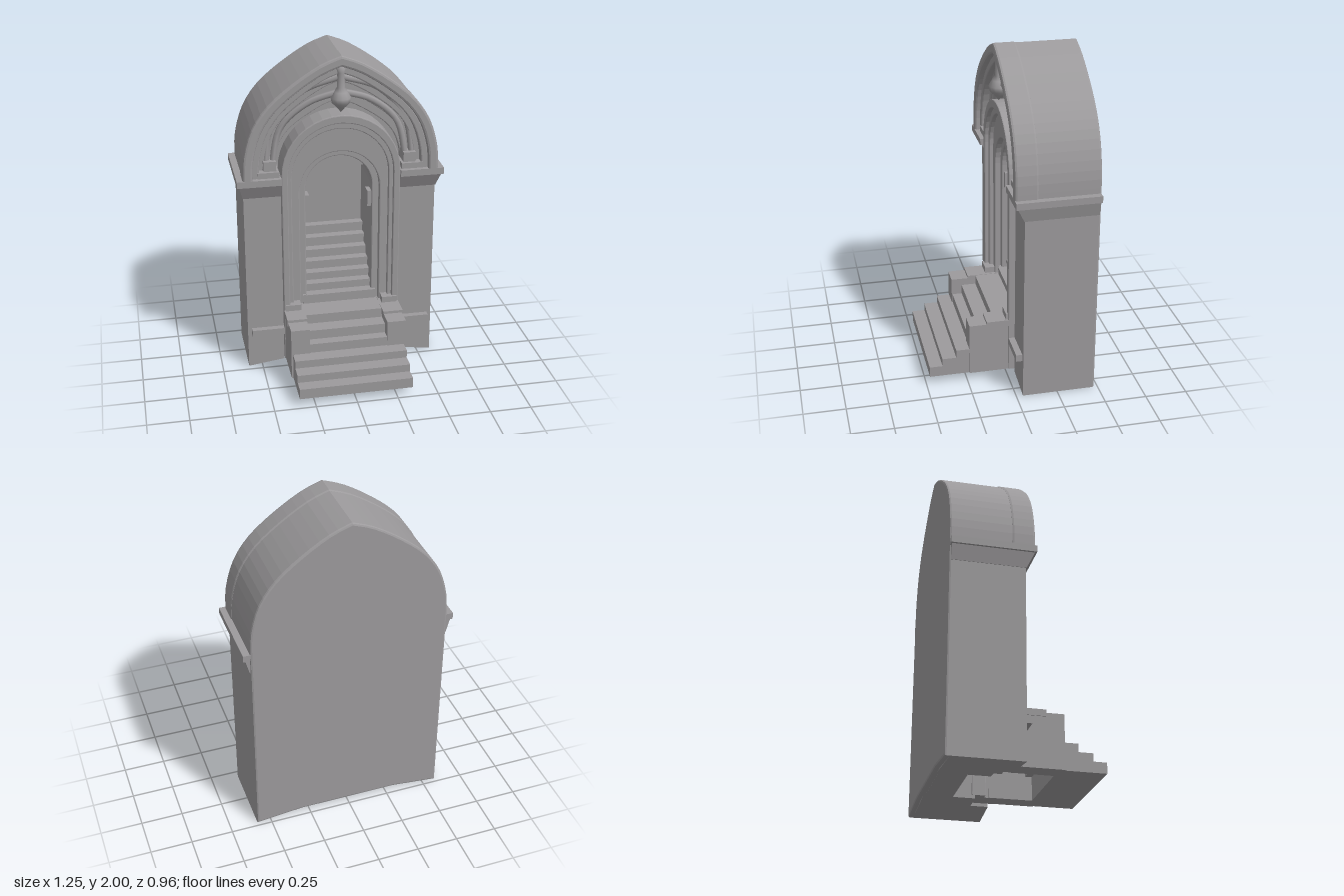
import * as THREE from 'three';

export function createModel() {
  const root = new THREE.Group();
  root.name = 'archedStairDoorway';
  const stone = new THREE.MeshStandardMaterial({ color: 0x9c9a9c });
  stone.name = 'grey stone';

  const add = (name, geometry, x = 0, y = 0, z = 0) => {
    const mesh = new THREE.Mesh(geometry, stone);
    mesh.name = name;
    mesh.position.set(x, y, z);
    root.add(mesh);
    return mesh;
  };
  // Box given by its limits
  const block = (name, x0, x1, y0, y1, z0, z1) =>
    add(name, new THREE.BoxGeometry(x1 - x0, y1 - y0, z1 - z0),
      (x0 + x1) / 2, (y0 + y1) / 2, (z0 + z1) / 2);
  const V = (x, y) => new THREE.Vector2(x, y);

  // Pointed arch outline, right foot to left foot
  const profile = new THREE.SplineCurve([[1, 0], [0.985, 0.2], [0.9, 0.43], [0.74, 0.62],
    [0.5, 0.785], [0.22, 0.93], [0, 1]].map(([u, v]) => V(u, v))).getPoints(18);
  const pointed = (w, spring, apex, foot) => {
    const right = profile.map(p => V(p.x * w, spring + p.y * (apex - spring)));
    const left = right.slice(0, -1).reverse().map(p => V(-p.x, p.y));
    const arch = [...right, ...left];
    return foot === undefined ? arch : [V(w, foot), ...arch, V(-w, foot)];
  };
  // Round arch outline, right foot to left foot
  const round = (w, top, foot) => {
    const pts = [V(w, foot)];
    for (let i = 0; i <= 20; i++) {
      const a = Math.PI * i / 20;
      pts.push(V(w * Math.cos(a), top - w + w * Math.sin(a)));
    }
    return [...pts, V(-w, foot)];
  };
  // Slab between z0 and z1; an inner outline opens it at the foot
  const slab = (name, outer, inner, z0, z1, b = 0) => {
    const shape = new THREE.Shape(inner ? [...outer, ...[...inner].reverse()] : outer);
    const geometry = new THREE.ExtrudeGeometry(shape, {
      depth: z1 - z0 - 2 * b, bevelEnabled: b > 0, bevelSize: b,
      bevelThickness: b, bevelOffset: -b, bevelSegments: 2, steps: 1,
    });
    return add(name, geometry, 0, 0, z0 + b);
  };

  // Main walls: back, doorway passage, front piers with the vault recess
  const body = pointed(0.585, 1.27, 1.995, 0);
  slab('backWall', [...body, V(-0.3, 0.03), V(0.3, 0.03)], null, -0.48, -0.43, 0.012);
  slab('passageWall', body, round(0.21, 1.36, 0.03), -0.45, -0.15);
  const recess = [V(0.36, 0.03), V(0.36, 1.28), ...pointed(0.5, 1.28, 1.9),
    V(-0.36, 1.28), V(-0.36, 0.03)];
  slab('frontPiers', body, recess, -0.15, -0.04);
  block('passageLintel', -0.21, 0.21, 1.18, 1.36, -0.44, -0.36);
  block('passageFloor', -0.3, 0.3, 0.03, 0.07, -0.44, -0.28);

  // Pointed rim mouldings
  slab('outerArchRim', pointed(0.59, 1.27, 2, 1.26), pointed(0.53, 1.27, 1.935, 1.26), -0.12, 0.018, 0.014);
  slab('innerArchRim', pointed(0.535, 1.27, 1.94, 1.26), pointed(0.49, 1.27, 1.89, 1.26), -0.15, -0.015, 0.008);

  // Stepped vault bands inside the recess
  [[0.495, 1.895, 0.455, 1.83, -0.06], [0.46, 1.835, 0.42, 1.765, -0.095],
    [0.425, 1.77, 0.385, 1.70, -0.12]].forEach(([w0, a0, w1, a1, z]) =>
    slab('vaultBand', pointed(w0, 1.28, a0, 1.27), pointed(w1, 1.28, a1, 1.27), -0.16, z, 0.006));

  // Round door surround, stepping back to the opening
  [[0.36, 1.64, 0.32, 1.59, 0], [0.325, 1.595, 0.295, 1.55, -0.025],
    [0.3, 1.555, 0.245, 1.4, -0.05], [0.25, 1.405, 0.205, 1.36, -0.085]].forEach(([w0, t0, w1, t1, z]) =>
    slab('doorSurround', round(w0, t0, 0.05), round(w1, t1, 0.05), -0.17, z, 0.006));

  for (const s of [-1, 1]) {
    const side = (name, x0, x1, ...rest) =>
      block(name, Math.min(s * x0, s * x1), Math.max(s * x0, s * x1), ...rest);

    // Cornice: cap over a flare that narrows downward
    side('corniceCap', 0.36, 0.625, 1.235, 1.275, -0.475, 0.018);
    const flare = side('corniceFlare', 0.36, 0.612, 1.145, 1.236, -0.47, 0.008);
    const p = flare.geometry.attributes.position;
    for (let i = 0; i < p.count; i++) {
      if (p.getY(i) > 0) continue;
      if (p.getX(i) * s > 0) p.setX(i, p.getX(i) - s * 0.024);
      if (p.getZ(i) > 0) p.setZ(i, p.getZ(i) - 0.045);
    }
    flare.geometry.computeVertexNormals();
    side('plinthMoulding', 0.35, 0.56, 0.225, 0.268, -0.06, -0.003);

    // Springer blocks and ribs rising to the pendant
    side('springerBlock', 0.37, 0.5, 1.27, 1.31, -0.15, -0.01);
    side('springerBlock', 0.385, 0.46, 1.31, 1.37, -0.15, -0.03);
    [[0.45, 0.40, 1.58, 0.23, 1.78, 1.87], [0.41, 0.35, 1.56, 0.19, 1.71, 1.78]].forEach(
      ([x0, x1, y1, x2, y2, y3]) => {
        const path = new THREE.CatmullRomCurve3([
          new THREE.Vector3(s * x0, 1.3, -0.07), new THREE.Vector3(s * x1, y1, -0.08),
          new THREE.Vector3(s * x2, y2, -0.06), new THREE.Vector3(0, y3, -0.03)]);
        add('vaultRib', new THREE.TubeGeometry(path, 16, 0.02, 6));
      });

    // Passage brackets and stair parapets
    side('passageBracket', 0.18, 0.22, 1.01, 1.11, -0.17, -0.1);
    side('stairParapet', 0.24, 0.355, 0.05, 0.375, -0.06, 0.235);
    side('parapetCap', 0.238, 0.36, 0.352, 0.392, -0.06, 0.13);
    side('parapetRear', 0.255, 0.35, 0.39, 0.43, -0.06, 0.012);
  }

  // Hanging pendant at the apex
  const drop = [[0, 0], [0.025, 0.03], [0.055, 0.06], [0.06, 0.09], [0.04, 0.125], [0.024, 0.15],
    [0.022, 0.24], [0.032, 0.28], [0, 0.28]].map(([x, y]) => V(x, y));
  add('pendant', new THREE.LatheGeometry(drop, 12), 0, 1.655, -0.02);

  // Front steps: solid below, thin treads between the parapets
  [[0.05, 0.115, 0.39, 0.478], [0.05, 0.163, 0.31, 0.4], [0.05, 0.212, 0.2, 0.315]].forEach(
    ([y0, y1, z0, z1]) => block('frontStep', -0.345, 0.345, y0, y1, z0, z1));
  [[0.27, 0.16, 0.23], [0.33, 0.075, 0.17], [0.39, -0.08, 0.08]].forEach(
    ([y, z0, z1]) => block('upperStep', -0.25, 0.25, y - 0.075, y, z0, z1));

  // Passage steps climbing to the back wall
  [0.45, 0.5, 0.55, 0.605, 0.66, 0.72, 0.78].forEach((y, i) => {
    const z = -0.07 - i * 0.052;
    block('passageStep', -0.23, 0.23, y - 0.085, y, z - 0.058, z);
    block('stepNosing', -0.21, 0.21, y - 0.018, y + 0.002, z - 0.02, z + 0.008);
  });

  return root;
}
